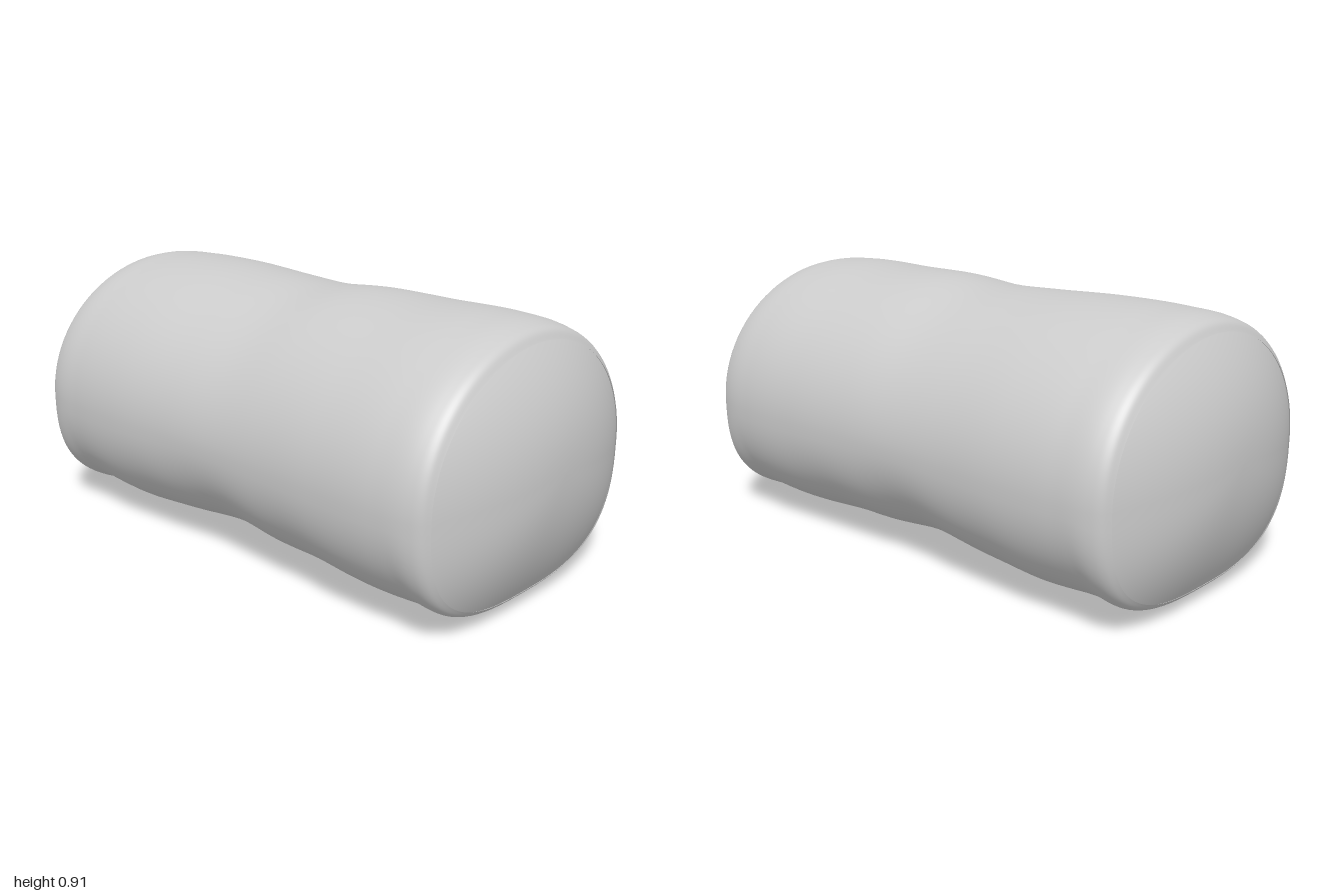
import * as THREE from 'three';

const SIDES = 96;
const MID_Y = 0.43;

// Ring point at angle a: rounded top half, squarer lower half.
function sectionPoint(a, z, halfWidth, top, bottom, pTop, pLow, midY) {
  const c = Math.cos(a), s = Math.sin(a);
  const e = 2 / (s >= 0 ? pTop : pLow);
  const x = halfWidth * Math.sign(c) * Math.abs(c) ** e;
  const y = Math.abs(s) ** e * (s >= 0 ? top - midY : bottom - midY);
  return [x, midY + y, z];
}

// Skins a list of rings; neighbouring rings run toward +z.
function loft(rings, name, material) {
  const index = [];
  for (let i = 0; i < rings.length - 1; i++) {
    for (let j = 0; j < SIDES; j++) {
      const k = (j + 1) % SIDES;
      const a = i * SIDES + j, b = i * SIDES + k;
      index.push(a, b, b + SIDES, a, b + SIDES, a + SIDES);
    }
  }
  const geometry = new THREE.BufferGeometry();
  geometry.setAttribute('position', new THREE.Float32BufferAttribute(rings.flat(2), 3));
  geometry.setIndex(index);
  geometry.computeVertexNormals();
  const mesh = new THREE.Mesh(geometry, material);
  mesh.name = name;
  return mesh;
}

const ring = (fn) => Array.from({ length: SIDES }, (_, j) => fn((j / SIDES) * Math.PI * 2));

export function createModel() {
  const group = new THREE.Group();
  group.name = 'bolsterCushion';
  const material = new THREE.MeshStandardMaterial({ color: 0xcccccc, side: THREE.DoubleSide });

  // Length profile: z, half width, top, bottom
  const keys = [
    [-0.885, 0.486, 0.853, 0.058], [-0.87, 0.506, 0.877, 0.042], [-0.83, 0.525, 0.895, 0.025],
    [-0.7, 0.537, 0.908, 0.018], [-0.48, 0.54, 0.911, 0.004], [-0.2, 0.528, 0.9, 0.029],
    [0, 0.524, 0.895, 0.03], [0.2, 0.528, 0.91, 0.022], [0.45, 0.538, 0.909, 0.014],
    [0.7, 0.54, 0.91, 0.013], [0.83, 0.525, 0.895, 0.028], [0.87, 0.506, 0.877, 0.042],
    [0.885, 0.486, 0.853, 0.058],
  ];
  const profile = new THREE.CubicInterpolant(
    keys.map((k) => k[0]), keys.flatMap((k) => k.slice(1)), 3);

  // Soft body with a gentle waist and shallow folds low on the sides
  const body = [];
  const steps = 120;
  for (let i = 0; i <= steps; i++) {
    const z = 0.885 * Math.sin((i / steps - 0.5) * Math.PI);
    const [w, top, bottom] = profile.evaluate(z);
    const waist = Math.exp(-((z / 0.3) ** 2));
    const end = THREE.MathUtils.smoothstep(Math.abs(z), 0.75, 0.885);
    const fold = 0.02 * (0.5 + 0.5 * Math.cos((z + 0.04) * 15)) * Math.exp(-((z / 0.5) ** 4));
    body.push(ring((a) => {
      const p = sectionPoint(a, z, w, top, bottom, 2 - 0.08 * waist,
        2.3 - 0.15 * waist + 0.5 * end, MID_Y);
      const dent = Math.sin(a) < 0 ? 1 - fold * Math.sin(2 * a) ** 2 : 1;
      return [p[0] * dent, MID_Y + (p[1] - MID_Y) * dent, z];
    }));
  }
  group.add(loft(body, 'cushionBody', material));

  // Domed end panels, tucked into a fine seam
  for (const side of [-1, 1]) {
    const rings = [];
    for (let i = 0; i <= 28; i++) {
      const s = Math.cos((i / 28) * Math.PI / 2);
      const z = 0.88 + 0.12 * (1 - s ** 2.2);
      const shift = 0.05 * (1 - s);
      rings.push(ring((a) => {
        const p = sectionPoint(a, side * z, 0.488, 0.855, 0.056, 2, 2.8, MID_Y);
        return [p[0] * s, MID_Y + shift + (p[1] - MID_Y) * s, p[2]];
      }));
    }
    if (side < 0) rings.reverse();
    group.add(loft(rings, side > 0 ? 'frontEndPanel' : 'backEndPanel', material));
  }
  return group;
}
